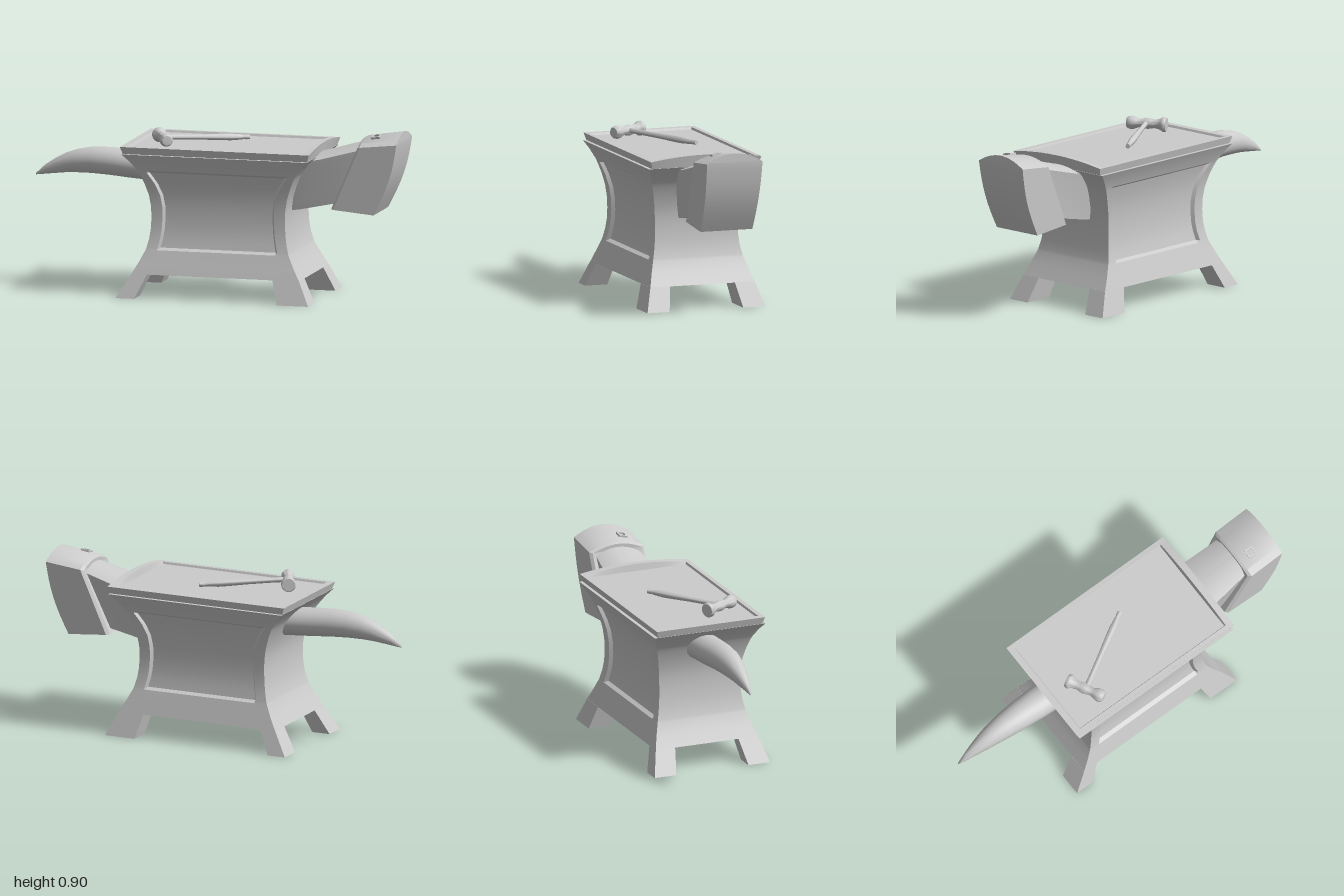
import * as THREE from 'three';
import { toCreasedNormals } from 'three/addons/utils/BufferGeometryUtils.js';

const CX = 0.055; // x centre of the body
const V = (x, y, z) => new THREE.Vector3(x, y, z);
const grey = () => new THREE.MeshStandardMaterial({ color: 0xcccccc });

function addMesh(parent, geometry, name) {
  const mesh = new THREE.Mesh(geometry, grey());
  mesh.name = name;
  parent.add(mesh);
  return mesh;
}

// Skin closed rings (counter-clockwise about the travel direction) and cap both ends
function loft(rings, crease = 0.5) {
  const pos = [];
  const quad = (a, b, c, d) => [a, b, c, a, c, d].forEach(p => pos.push(p.x, p.y, p.z));
  const n = rings[0].length;
  for (let i = 0; i < rings.length - 1; i++)
    for (let j = 0; j < n; j++) {
      const k = (j + 1) % n;
      quad(rings[i][j], rings[i][k], rings[i + 1][k], rings[i + 1][j]);
    }
  const first = rings[0], last = rings[rings.length - 1];
  for (let j = 0; j < n / 2 - 1; j++) {
    quad(last[j], last[j + 1], last[n - 2 - j], last[n - 1 - j]);
    quad(first[n - 1 - j], first[n - 2 - j], first[j + 1], first[j]);
  }
  const g = new THREE.BufferGeometry();
  g.setAttribute('position', new THREE.Float32BufferAttribute(pos, 3));
  return toCreasedNormals(g, crease);
}

// Waisted body with a sunken panel on front and back
function bodyGeometry() {
  // y, half width, half depth, panel half width, panel sunk
  const rows = [
    [0.125, 0.455, 0.290, 0.33, 0], [0.19, 0.418, 0.270, 0.32, 0],
    [0.25, 0.388, 0.251, 0.315, 0], [0.262, 0.384, 0.248, 0.313, 1],
    [0.31, 0.372, 0.238, 0.301, 1], [0.36, 0.365, 0.232, 0.294, 1],
    [0.42, 0.362, 0.230, 0.290, 1], [0.48, 0.364, 0.232, 0.291, 1],
    [0.54, 0.374, 0.238, 0.301, 1], [0.60, 0.394, 0.250, 0.326, 1],
    [0.64, 0.411, 0.261, 0.352, 1], [0.66, 0.421, 0.267, 0.366, 1],
    [0.672, 0.428, 0.271, 0.375, 0], [0.72, 0.464, 0.292, 0.41, 0],
    [0.76, 0.503, 0.315, 0.43, 0],
  ];
  return loft(rows.map(([y, hx, hz, px, sunk]) => {
    const zin = hz - 0.018 * sunk;
    const side = [[hx, hz], [px + 0.012, hz], [px, zin], [-px, zin], [-px - 0.012, hz], [-hx, hz]];
    return [
      V(CX + hx, y, hz),
      ...side.map(([x, z]) => V(CX + x, y, -z)),
      ...side.slice(1).reverse().map(([x, z]) => V(CX + x, y, z)),
    ];
  }));
}

// Top plate with a raised rim that arches up at the heel end
function plateGeometry() {
  const ring = (hx, hz, y, lift) => {
    const pts = [];
    for (let i = 0; i <= 12; i++) {
      const t = 1 - i / 6;
      pts.push(V(CX + hx, y + lift * (1 - t * t), hz * t));
    }
    pts.push(V(CX - hx, y, -hz), V(CX - hx, y, hz));
    // an even point count keeps the caps closed
    pts.push(V(CX, y, hz));
    return pts;
  };
  return loft([
    ring(0.498, 0.295, 0.755, 0), ring(0.513, 0.307, 0.798, 0.025),
    ring(0.478, 0.282, 0.798, 0.025), ring(0.472, 0.277, 0.787, 0),
  ], 0.3);
}

// Splayed foot
function footGeometry(sx, sz) {
  const [inB, inT, outB] = sx < 0 ? [0.43, 0.37, 0.53] : [0.345, 0.31, 0.515];
  const ring = (y, xi, xo, zi, zo) => {
    const r = [[xo, zo], [xo, zi], [xi, zi], [xi, zo]].map(([x, z]) => V(CX + sx * x, y, sz * z));
    return sx * sz > 0 ? r : r.reverse();
  };
  return loft([ring(0, inB, outB, 0.205, 0.328), ring(0.126, inT, 0.455, 0.18, 0.29)]);
}

// Tapering horn from elliptical sections
function hornGeometry() {
  // x, bottom, top, half width
  const s = [
    [-1, 0.578, 0.586, 0.004], [-0.95, 0.584, 0.633, 0.018], [-0.9, 0.590, 0.667, 0.031],
    [-0.84, 0.597, 0.700, 0.045], [-0.78, 0.600, 0.722, 0.056], [-0.7, 0.600, 0.738, 0.068],
    [-0.6, 0.595, 0.741, 0.077], [-0.5, 0.586, 0.735, 0.083], [-0.28, 0.570, 0.720, 0.09],
  ];
  return loft(s.map(([x, lo, hi, w]) => Array.from({ length: 32 }, (_, i) => {
    const a = (i + 0.5) / 32 * Math.PI * 2;
    return V(x, (lo + hi) / 2 + (hi - lo) / 2 * Math.cos(a), -0.008 + w * Math.sin(a));
  })), 0.9);
}

// Slanted section with an arched top; bulge curves the slanted edge
function archSection({ bottom, top, wB, wT, arch, bulge = 0 }) {
  const half = [];
  for (let i = 0; i < 6; i++) {
    const t = (i + 0.5) / 6;
    half.push(V(top[0], top[1] + arch * (1 - t * t), wT * t));
  }
  for (let i = 0; i <= 8; i++) {
    const t = i / 8;
    half.push(V(
      THREE.MathUtils.lerp(top[0], bottom[0], t) + bulge * Math.sin(Math.PI * t),
      THREE.MathUtils.lerp(top[1], bottom[1], t),
      THREE.MathUtils.lerp(wT, wB, t)));
  }
  return [...half, ...half.slice().reverse().map(p => V(p.x, p.y, -p.z))];
}

// Lathe turned along the line from a to b; profile is [radius, distance along 0..1]
function turned(parent, name, profile, a, b) {
  const len = a.distanceTo(b);
  const pts = profile.map(([r, t]) => new THREE.Vector2(r, t * len));
  const m = addMesh(parent, toCreasedNormals(new THREE.LatheGeometry(pts, 24), 0.75), name);
  m.position.copy(a);
  m.quaternion.setFromUnitVectors(V(0, 1, 0), b.clone().sub(a).normalize());
}

export function createModel() {
  const model = new THREE.Group();
  model.name = 'anvil';

  addMesh(model, bodyGeometry(), 'body');
  addMesh(model, plateGeometry(), 'topPlate');
  for (const sx of [-1, 1])
    for (const sz of [-1, 1])
      addMesh(model, footGeometry(sx, sz), `${sz > 0 ? 'front' : 'back'}${sx > 0 ? 'Left' : 'Right'}Foot`);
  addMesh(model, hornGeometry(), 'horn');

  // Heel: neck and slanted head
  addMesh(model, loft([
    archSection({ bottom: [0.36, 0.463], top: [0.46, 0.73], wB: 0.1, wT: 0.145, arch: 0.02 }),
    archSection({ bottom: [0.46, 0.475], top: [0.58, 0.75], wB: 0.1, wT: 0.14, arch: 0.03 }),
    archSection({ bottom: [0.70, 0.525], top: [0.81, 0.81], wB: 0.1, wT: 0.12, arch: 0.035 }),
  ]), 'heelNeck');
  addMesh(model, loft([
    archSection({ bottom: [0.64, 0.490], top: [0.785, 0.820], wB: 0.13, wT: 0.14, arch: 0.035 }),
    archSection({ bottom: [0.655, 0.488], top: [0.80, 0.825], wB: 0.145, wT: 0.155, arch: 0.04 }),
    archSection({ bottom: [0.873, 0.468], top: [1, 0.846], wB: 0.144, wT: 0.155, arch: 0.05, bulge: 0.022 }),
  ]), 'heelHead');

  // Square socket rim on the heel
  const square = (s, S) => new S([[-s, -s], [s, -s], [s, s], [-s, s]].map(p => new THREE.Vector2(...p)));
  const rim = square(0.024, THREE.Shape);
  rim.holes.push(square(0.015, THREE.Path));
  const socket = addMesh(model,
    new THREE.ExtrudeGeometry(rim, { depth: 0.012, bevelEnabled: false }).rotateX(-Math.PI / 2), 'socketRim');
  socket.position.set(0.867, 0.866, 0.058);
  socket.rotation.set(0.2, 0, 0.13);

  // Hammer lying on the plate
  const hammer = new THREE.Group();
  hammer.name = 'hammer';
  model.add(hammer);
  turned(hammer, 'hammerHead', [
    [0, 0], [0.034, 0], [0.039, 0.03], [0.039, 0.09], [0.034, 0.12], [0.026, 0.2], [0.023, 0.3],
    [0.026, 0.38], [0.029, 0.46], [0.026, 0.55], [0.021, 0.64], [0.025, 0.72], [0.033, 0.8],
    [0.035, 0.88], [0.032, 0.95], [0.025, 0.99], [0, 1],
  ], V(-0.32, 0.828, 0.035), V(-0.222, 0.828, 0.228));
  turned(hammer, 'hammerHandle', [
    [0, 0], [0.014, 0], [0.013, 0.2], [0.014, 0.45], [0.017, 0.65], [0.018, 0.78],
    [0.014, 0.9], [0.011, 0.94], [0.013, 0.96], [0.012, 1], [0, 1],
  ], V(-0.27, 0.831, 0.132), V(0.132, 0.812, -0.105));

  return model;
}
